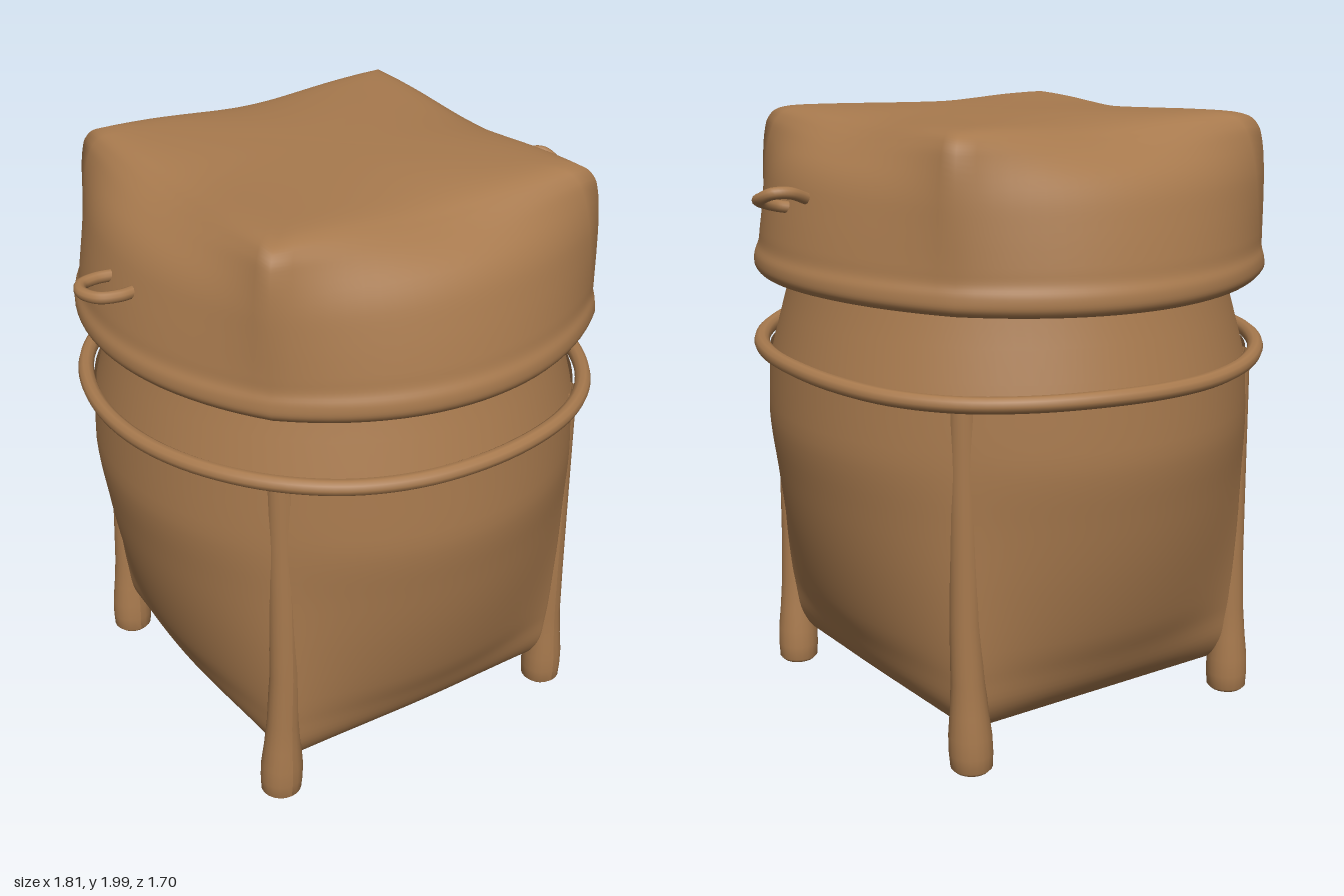
import * as THREE from 'three';

const wicker = new THREE.MeshStandardMaterial({ color: 0xa87a4e, side: THREE.DoubleSide });
wicker.name = 'warm brown';

const SEG = 96;

// Skin over rows [y, cornerRadius, squareness], listed bottom up.
// squareness 0 is a circle, 1 is the square with the same corner radius.
function loft(rows, zScale, lift = () => 0) {
  const pos = [], index = [];
  rows.forEach(([y, r, t]) => {
    for (let j = 0; j < SEG; j++) {
      const a = (j / SEG) * Math.PI * 2;
      const s = Math.sin(a), c = Math.cos(a);
      const square = Math.SQRT1_2 / Math.max(Math.abs(s), Math.abs(c));
      const rad = r * THREE.MathUtils.lerp(1, square, t);
      const x = rad * s, z = rad * c * zScale;
      pos.push(x, y + lift(x, y, z, a), z);
    }
  });
  for (let i = 0; i < rows.length - 1; i++) {
    for (let j = 0; j < SEG; j++) {
      const a = i * SEG + j, b = i * SEG + (j + 1) % SEG;
      index.push(a, b, a + SEG, b, b + SEG, a + SEG);
    }
  }
  const geo = new THREE.BufferGeometry();
  geo.setAttribute('position', new THREE.Float32BufferAttribute(pos, 3));
  geo.setIndex(index);
  geo.computeVertexNormals();
  return geo;
}

// Subdivide the profile rows with a smooth curve
function smooth(rows, n) {
  const curve = new THREE.CatmullRomCurve3(rows.map(r => new THREE.Vector3(...r)), false, 'centripetal');
  return curve.getPoints(n).map(p => [p.x, Math.max(p.y, 0), THREE.MathUtils.clamp(p.z, 0, 1)]);
}

export function createModel() {
  const model = new THREE.Group();
  model.name = 'liddedBasket';
  const add = (name, geo) => {
    const mesh = new THREE.Mesh(geo, wicker);
    mesh.name = name;
    model.add(mesh);
  };

  // Body: square sagging base swelling into a round top
  const bodyRows = smooth([
    [0.06, 0, 1], [0.065, 0.35, 1], [0.085, 0.6, 1], [0.12, 0.72, 1], [0.19, 0.78, 0.87],
    [0.3, 0.792, 0.68], [0.4, 0.795, 0.51], [0.6, 0.797, 0.28], [0.8, 0.797, 0.11],
    [1.0, 0.8, 0], [1.22, 0.79, 0],
  ], 50);
  add('body', loft(bodyRows, 1.025));

  // Neck that slides up inside the lid
  add('neck', loft([[1.2, 0.785, 0], [1.25, 0.772, 0], [1.35, 0.745, 0], [1.46, 0.715, 0], [1.58, 0.69, 0]], 1.025));

  // Slightly uneven hoop around the shoulder, fuller over the posts
  const hoop = [];
  for (let j = 0; j < 24; j++) {
    const a = (j / 24) * Math.PI * 2;
    const r = 1 + 0.025 * Math.sin(2 * a) ** 2;
    hoop.push(new THREE.Vector3(0.803 * r * Math.sin(a),
      1.227 + 0.021 * Math.cos(a) - 0.01 * Math.sin(a) + 0.004 * Math.sin(5 * a),
      0.822 * r * Math.cos(a)));
  }
  add('shoulderHoop', new THREE.TubeGeometry(new THREE.CatmullRomCurve3(hoop, true), 120, 0.026, 10, true));

  // Corner posts: short round feet that narrow into a soft ridge up each corner
  const feet = [[0.555, 0.53], [-0.548, 0.525], [0.52, -0.55], [-0.55, -0.55]];
  feet.forEach(([x, z], i) => {
    const post = new THREE.LatheGeometry([
      [0, 0], [0.055, 0], [0.067, 0.012], [0.07, 0.06], [0.069, 0.12], [0.061, 0.2],
      [0.054, 0.3], [0.05, 0.5], [0.048, 0.8], [0.046, 1.21],
    ].map(p => new THREE.Vector2(...p)), 20);
    // lean each post from its foot to the shoulder
    const p = post.attributes.position;
    for (let k = 0; k < p.count; k++) {
      const t = Math.min(p.getY(k) / 0.5, 1);
      p.setX(k, p.getX(k) + THREE.MathUtils.lerp(x, Math.sign(x) * 0.54, t));
      p.setZ(k, p.getZ(k) + THREE.MathUtils.lerp(z, Math.sign(z) * 0.55, t));
    }
    post.computeVertexNormals();
    add('cornerPost' + (i + 1), post);
  });

  // Lid: round rim below, soft square top with rounded-off edges
  const lidRows = smooth([
    [1.5, 0.8, 0.06], [1.468, 0.81, 0.08], [1.462, 0.83, 0.09], [1.485, 0.85, 0.09], [1.52, 0.85, 0.09],
    [1.555, 0.841, 0.12], [1.6, 0.84, 0.16], [1.7, 0.84, 0.28], [1.8, 0.838, 0.43], [1.9, 0.828, 0.72],
    [1.945, 0.812, 0.88], [1.972, 0.78, 0.97], [1.985, 0.72, 1], [1.99, 0.5, 1], [1.987, 0, 1],
  ], 60);
  add('lid', loft(lidRows, 1.0, (x, y, z, a) => {
    const rim = THREE.MathUtils.clamp((1.75 - y) / 0.3, 0, 1);
    const top = THREE.MathUtils.smoothstep(y, 1.82, 1.98);
    const edge = Math.min(Math.max(Math.abs(x), Math.abs(z)) / 0.56, 1) ** 4;
    return -0.011 * Math.cos(2 * a) * rim - 0.03 * Math.cos(2 * a) ** 2 * edge * top
      + 0.006 * Math.sin(5 * x + 1) * Math.cos(4 * z) * top;
  }));

  // Cord loops on both sides of the lid
  const loop = (name, points) => add(name, new THREE.TubeGeometry(
    new THREE.CatmullRomCurve3(points.map(p => new THREE.Vector3(...p))), 40, 0.019, 10));
  loop('leftLoop', [
    [0.75, 1.71, 0.1], [0.8, 1.72, 0.112], [0.86, 1.74, 0.095], [0.885, 1.755, 0.035],
    [0.87, 1.775, -0.015], [0.82, 1.775, -0.03], [0.75, 1.75, -0.01],
  ]);
  loop('rightLoop', [
    [-0.75, 1.71, 0.08], [-0.8, 1.71, 0.085], [-0.86, 1.71, 0.065], [-0.887, 1.71, 0.005],
    [-0.865, 1.71, -0.045], [-0.81, 1.71, -0.062], [-0.75, 1.71, -0.055],
  ]);

  return model;
}
